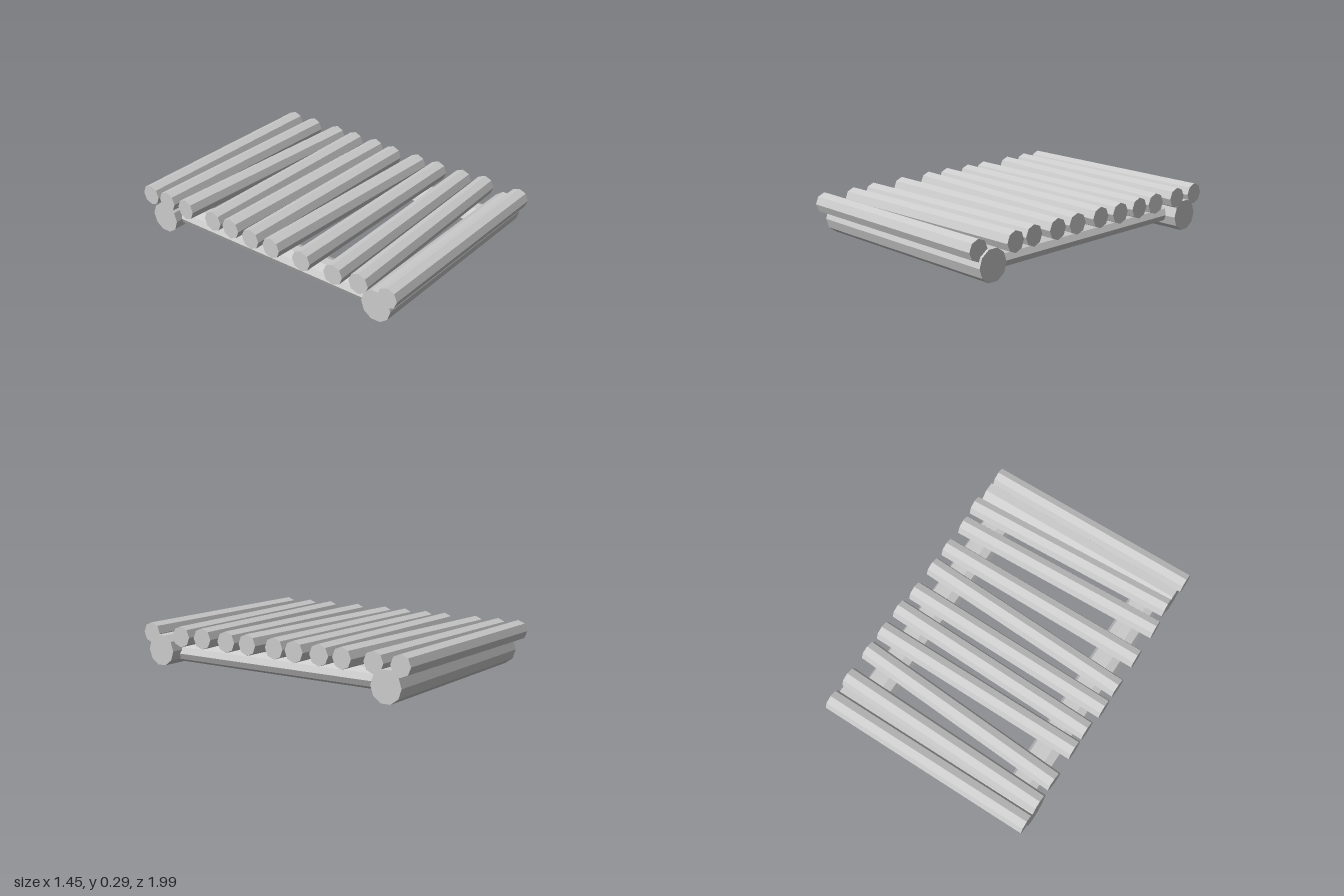
import * as THREE from 'three';

const material = new THREE.MeshStandardMaterial({ color: 0xcccccc, flatShading: true });

// Straight log lying across the deck, from (x0, z0) on the right to (x1, z1) on the left
function crossLog(name, radius, sides, y, x0, z0, x1, z1) {
  const geometry = new THREE.CylinderGeometry(radius, radius, Math.hypot(x1 - x0, z1 - z0), sides);
  geometry.rotateZ(Math.PI / 2);
  const mesh = new THREE.Mesh(geometry, material);
  mesh.name = name;
  mesh.position.set((x0 + x1) / 2, y, (z0 + z1) / 2);
  mesh.rotation.y = -Math.atan2(z1 - z0, x1 - x0);
  return mesh;
}

export function createModel() {
  const group = new THREE.Group();
  group.name = 'logDeck';

  // Thin deck logs: z at the -x end, z at the +x end, sideways shift
  const slats = [
    [-0.93, -0.933, 0.005], [-0.787, -0.758, 0.005], [-0.625, -0.547, 0.005],
    [-0.393, -0.39, 0.005], [-0.247, -0.213, 0.005], [-0.072, -0.055, -0.011],
    [0.09, 0.147, -0.011], [0.319, 0.311, -0.011], [0.552, 0.502, -0.011],
    [0.72, 0.661, 0.005], [0.93, 0.922, -0.011],
  ];
  slats.forEach(([z0, z1, shift], i) => {
    group.add(crossLog(`deckLog${i + 1}`, 0.066, 8, 0.23, shift - 0.715, z0, shift + 0.715, z1));
  });

  // Thick end logs
  group.add(crossLog('frontEndLog', 0.1, 10, 0.13, -0.705, 0.84, 0.72, 0.83));
  group.add(crossLog('backEndLog', 0.1, 10, 0.103, -0.705, -0.82, 0.72, -0.84));

  // Flattened rails running front to back under the deck
  for (const [name, x] of [['leftRail', 0.55], ['rightRail', -0.557]]) {
    const geometry = new THREE.CylinderGeometry(0.1, 0.1, 1.66, 10);
    geometry.rotateY(Math.PI / 2).rotateX(Math.PI / 2).scale(1, 0.64, 1);
    const rail = new THREE.Mesh(geometry, material);
    rail.name = name;
    rail.position.set(x, 0.106, 0);
    group.add(rail);
  }
  return group;
}
